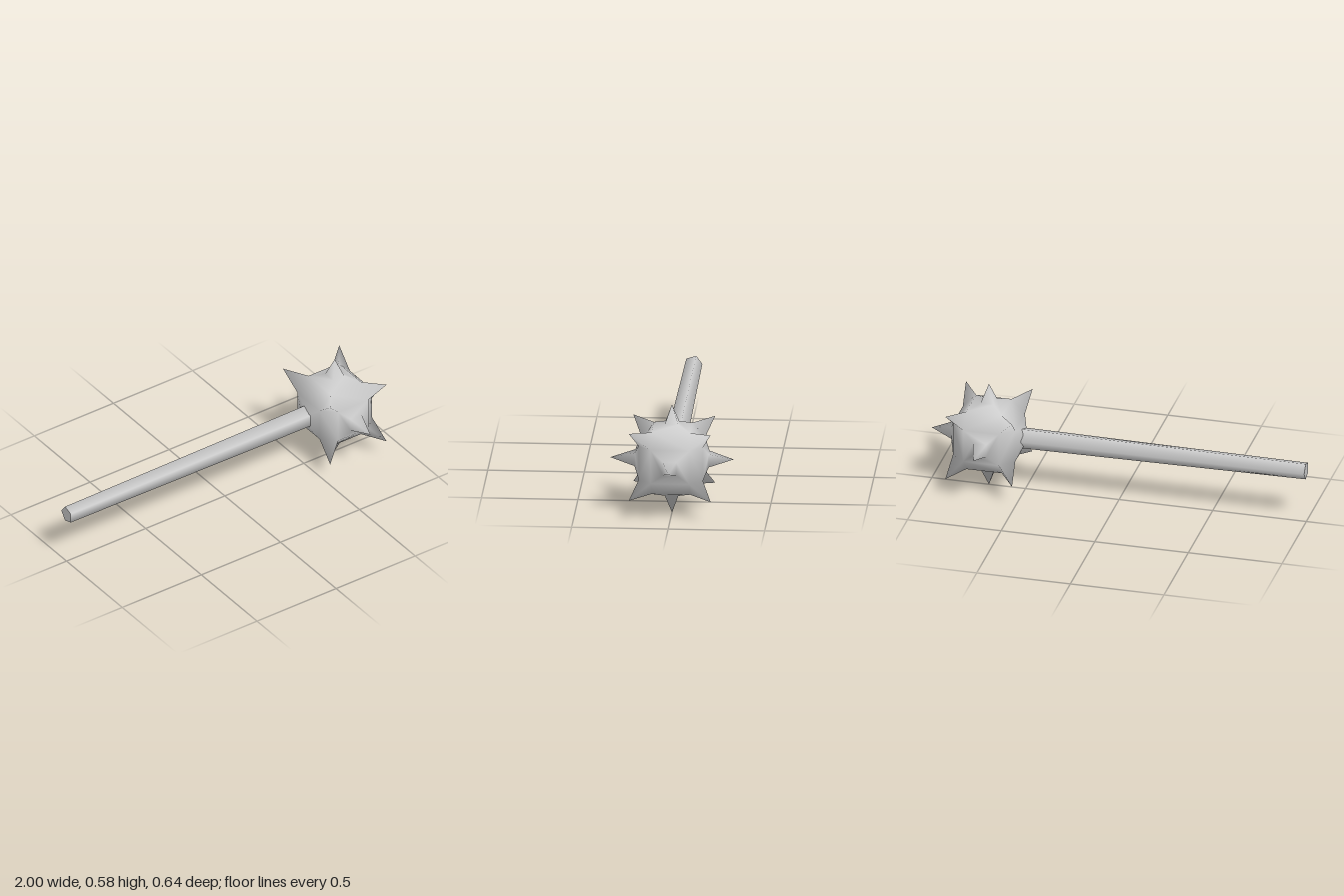
import * as THREE from 'three';

const material = new THREE.MeshStandardMaterial({ color: 0xcccccc });

// Star-shaped head: a chamfered cube with a spike on each face and corner
function spikedHeadGeometry() {
  const points = [], index = [], ids = {};
  const vertex = (p) => {
    const key = p.map((n) => n.toFixed(4)).join();
    if (!(key in ids)) { ids[key] = points.length; points.push(new THREE.Vector3(...p)); }
    return ids[key];
  };
  // Adds a triangle wound so that it faces away from the centre
  const tri = (a, b, c) => {
    const [A, B, C] = [a, b, c].map((i) => points[i]);
    const n = B.clone().sub(A).cross(C.clone().sub(A));
    const out = n.dot(A.clone().add(B).add(C)) > 0;
    index.push(...(out ? [a, b, c] : [a, c, b]));
  };
  const quad = (a, b, c, d) => { tri(a, b, c); tri(a, c, d); };

  const half = [0.095, 0.09, 0.1];      // half size of the face panels per axis
  const tipLength = [0.305, 0.291, 0.32];
  const cornerTip = [0.178, 0.18, 0.212];
  const signs = [-1, 1];

  // Panel corner on the face of one axis, given the signs of all three axes
  const panel = (axis, s) => vertex(s.map((k, i) => k * (i === axis ? 0.166 : half[i])));
  const spikeBase = (axis, s) => vertex(s.map((k, i) => k * (i === axis ? 0.192 : 0.035)));

  for (let axis = 0; axis < 3; axis++) {
    const u = (axis + 1) % 3, v = (axis + 2) % 3;
    const at = (sa, su, sv) => { const s = []; s[axis] = sa; s[u] = su; s[v] = sv; return s; };
    for (const side of signs) {
      // Face panel rising to its spike; the handle side stays blunt
      const blunt = axis === 0 && side < 0;
      const tip = [0, 0, 0];
      tip[axis] = side * (blunt ? 0.195 : tipLength[axis]);
      const t = vertex(tip);
      const ring = [[-1, -1], [1, -1], [1, 1], [-1, 1]].map(([a, b]) => at(side, a, b));
      ring.forEach((s, i) => {
        const n = ring[(i + 1) % 4];
        quad(panel(axis, s), panel(axis, n), spikeBase(axis, n), spikeBase(axis, s));
        tri(spikeBase(axis, s), spikeBase(axis, n), t);
      });
      // Chamfers to the next axis' faces
      for (const other of signs) {
        const a = at(side, other, -1), b = at(side, other, 1);
        quad(panel(axis, a), panel(axis, b), panel(u, b), panel(u, a));
      }
    }
  }

  // Corner spikes on triangular bases
  for (const x of signs) for (const y of signs) for (const z of signs) {
    const s = [x, y, z];
    const t = vertex(s.map((k, i) => k * cornerTip[i]));
    for (let i = 0; i < 3; i++) tri(panel(i, s), panel((i + 1) % 3, s), t);
  }

  const geometry = new THREE.BufferGeometry().setFromPoints(points);
  geometry.setIndex(index);
  geometry.computeVertexNormals();
  return geometry;
}

export function createModel() {
  const model = new THREE.Group();
  model.name = 'spikedMace';

  const head = new THREE.Mesh(spikedHeadGeometry(), material);
  head.name = 'spikedHead';
  head.position.set(0.695, 0.291, 0);
  model.add(head);

  // Five-sided handle, slightly thicker towards the head
  const start = -1, end = 0.56;
  const handle = new THREE.Mesh(
    new THREE.CylinderGeometry(0.058, 0.046, end - start, 5, 1, false, Math.PI), material);
  handle.name = 'handle';
  handle.rotation.z = -Math.PI / 2;
  handle.position.set((start + end) / 2, 0.295, 0);
  model.add(handle);

  return model;
}
